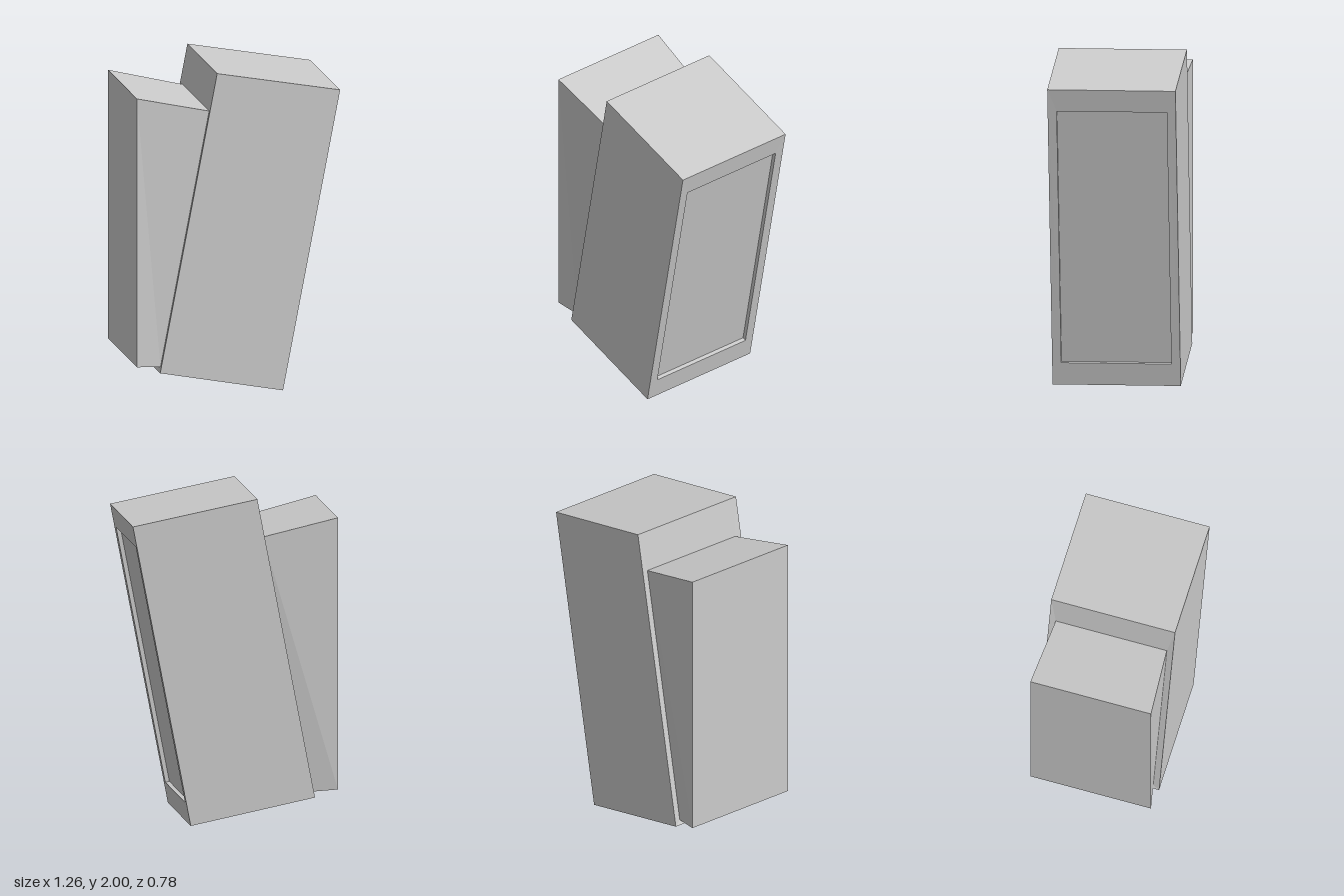
import * as THREE from 'three';

// Rectangular cross-section: top (x, y), bottom (x, y) and half depth in z
function ring([tx, ty, bx, by, hz]) {
  return [[tx, ty, hz], [tx, ty, -hz], [bx, by, -hz], [bx, by, hz]];
}

// Skin a row of rings running from +x to -x, with optional end caps
function loft(name, sections, capStart, capEnd) {
  const rings = sections.map(ring);
  const pos = [];
  const quad = (a, b, c, d) => pos.push(...a, ...b, ...c, ...a, ...c, ...d);
  for (let r = 0; r < rings.length - 1; r++) {
    const a = rings[r], b = rings[r + 1];
    for (let i = 0; i < 4; i++) {
      const j = (i + 1) % 4;
      quad(a[i], a[j], b[j], b[i]);
    }
  }
  if (capStart) quad(...[...rings[0]].reverse());
  if (capEnd) quad(...rings[rings.length - 1]);
  const geo = new THREE.BufferGeometry();
  geo.setAttribute('position', new THREE.Float32BufferAttribute(pos, 3));
  geo.computeVertexNormals();
  const mesh = new THREE.Mesh(geo, new THREE.MeshStandardMaterial({ color: 0xcccccc, flatShading: true }));
  mesh.name = name;
  return mesh;
}

export function createModel() {
  const group = new THREE.Group();
  group.name = 'tiltedCabinet';

  const lip = [0.604, 1.72, 0.301, 0.137, 0.335];
  const floor = [0.579, 1.725, 0.276, 0.142, 0.335];
  const neck = [-0.176, 1.759, -0.479, 0.179, 0.35];

  // Recessed panel on the +x face
  group.add(loft('screenRecess', [floor, lip], true, false));

  // Leaning main body, from the recess lip round to the rear neck
  group.add(loft('cabinetBody', [
    lip,
    [0.631, 1.855, 0.275, 0, 0.39],
    [-0.135, 2, -0.49, 0.15, 0.39],
    neck,
  ], false, false));

  // Upright rear housing, flaring away from the body
  group.add(loft('rearHousing', [neck, [-0.633, 1.868, -0.633, 0.193, 0.38]], false, true));

  return group;
}
